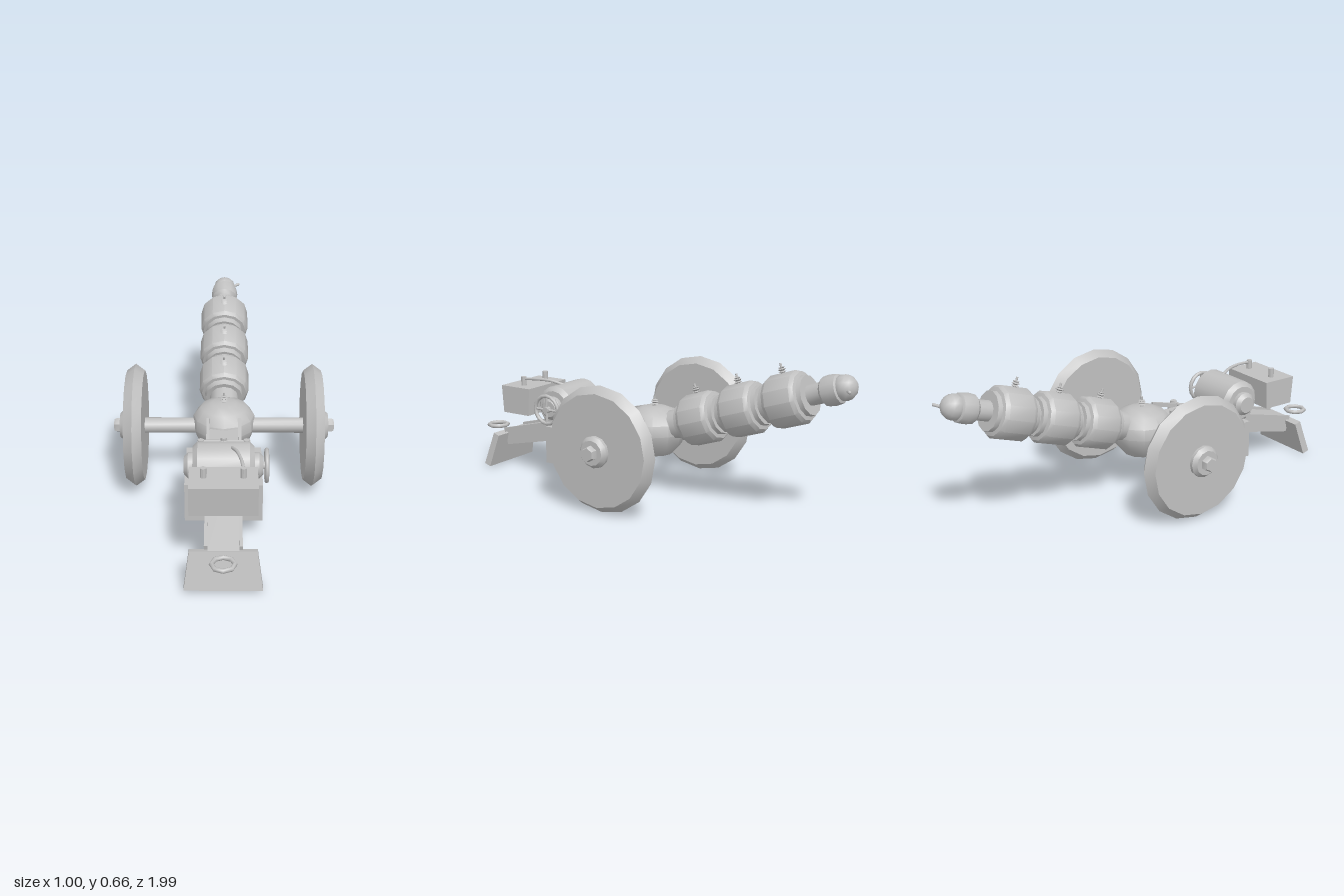
import * as THREE from 'three';
import { toCreasedNormals } from 'three/addons/utils/BufferGeometryUtils.js';

const steel = new THREE.MeshStandardMaterial({ color: 0xc0c0c0 });
steel.name = 'grey steel';

const AXLE_Y = 0.28;
const PITCH = THREE.MathUtils.degToRad(18.2);

export function createModel() {
  const model = new THREE.Group();
  model.name = 'fieldCannon';

  const add = (name, geometry, parent = model, x = 0, y = 0, z = 0) => {
    const mesh = new THREE.Mesh(geometry, steel);
    mesh.name = name;
    mesh.position.set(x, y, z);
    parent.add(mesh);
    return mesh;
  };
  // Turned part about y from [radius, height] pairs, bottom to top
  const turned = (points, sides = 12) => toCreasedNormals(
    new THREE.LatheGeometry(points.map(([r, h]) => new THREE.Vector2(r, h)), sides), 0.62);
  const alongX = (geometry) => geometry.rotateZ(-Math.PI / 2);
  const rod = (r, length, sides = 12) => turned(
    [[0, -length / 2], [r, -length / 2], [r, length / 2], [0, length / 2]], sides);
  const box = (name, x0, x1, y0, y1, z0, z1) => add(name,
    new THREE.BoxGeometry(x1 - x0, y1 - y0, z1 - z0), model, (x0 + x1) / 2, (y0 + y1) / 2, (z0 + z1) / 2);
  // Side profile of [z, y] pairs extruded across x
  const sideExtrude = (points, width) => {
    const shape = new THREE.Shape(points.map(([z, y]) => new THREE.Vector2(-z, y)));
    return new THREE.ExtrudeGeometry(shape, { depth: width, bevelEnabled: false })
      .translate(0, 0, -width / 2).rotateY(Math.PI / 2);
  };
  const insulatorProfile = [[0, -0.01], [0.009, -0.01], [0.009, 0.004], [0.018, 0.007], [0.009, 0.012],
    [0.018, 0.018], [0.009, 0.023], [0.014, 0.027], [0.005, 0.03], [0.005, 0.045], [0, 0.045]];
  const insulator = (parent, x, y, z) => add('insulator', turned(insulatorProfile, 10), parent, x, y, z);

  // Axle and wheels with hubs and hex nuts
  add('axle', alongX(rod(0.035, 0.74)), model, 0, AXLE_Y, -0.005);
  for (const side of [1, -1]) {
    const wheel = new THREE.Group();
    wheel.name = side > 0 ? 'leftWheel' : 'rightWheel';
    wheel.position.set(side * 0.4, AXLE_Y, -0.005);
    if (side < 0) wheel.rotation.y = Math.PI;
    model.add(wheel);
    add('wheelDisc', alongX(turned([[0, -0.04], [0.25, -0.04], [0.28, 0], [0.25, 0.04], [0, 0.04]], 16)), wheel);
    add('hub', alongX(turned([[0, 0.03], [0.07, 0.03], [0.07, 0.055], [0.055, 0.072], [0, 0.072]])), wheel);
    add('hubNut', alongX(turned([[0, 0.06], [0.034, 0.06], [0.034, 0.09], [0.028, 0.1], [0, 0.1]], 6)
      .rotateY(Math.PI / 2)), wheel);
  }

  // Central breech housing with domed top
  add('breechHousing', turned([[0, 0.17], [0.085, 0.18], [0.125, 0.225], [0.143, 0.28], [0.138, 0.33],
    [0.105, 0.372], [0.055, 0.392], [0, 0.397]]), model, 0, 0, -0.01);
  insulator(model, 0, 0.397, -0.01);

  // Barrel: local +y runs out along the bore, local +z faces up
  const barrel = new THREE.Group();
  barrel.name = 'barrel';
  barrel.position.set(0, AXLE_Y + 0.005, 0);
  barrel.rotation.x = PITCH - Math.PI / 2;
  model.add(barrel);
  add('barrelCore', rod(0.066, 0.77), barrel, 0, 0.425, 0);
  for (const s of [0.284, 0.505, 0.726]) {
    add('barrelSegment', turned([[0, -0.105], [0.085, -0.105], [0.09, -0.08], [0.104, -0.078], [0.115, -0.06],
      [0.115, 0.06], [0.104, 0.076], [0.088, 0.08], [0.086, 0.1], [0, 0.1]]), barrel, 0, s, 0);
    insulator(barrel, 0, s, 0.112).rotation.x = Math.PI / 2;
  }
  add('muzzleNeck', turned([[0, 0.8], [0.045, 0.8], [0.045, 0.885], [0.062, 0.9], [0.066, 0.93],
    [0.062, 0.965], [0.045, 0.975], [0, 0.975]]), barrel);
  add('muzzleBall', new THREE.SphereGeometry(0.056, 12, 8), barrel, 0, 0.984, 0);
  const spike = new THREE.LineCurve3(new THREE.Vector3(0.02, 0.585, -0.955), new THREE.Vector3(0.072, 0.592, -0.988));
  add('muzzleSpike', new THREE.TubeGeometry(spike, 1, 0.007, 8));
  add('muzzleSpikeTip', new THREE.SphereGeometry(0.007, 8, 6), model, 0.072, 0.592, -0.988);

  // Sloping trail with raised edge rails
  add('trail', sideExtrude([[0.825, 0.1], [0.845, 0.17], [0.25, 0.322], [0.05, 0.322], [0.05, 0.23], [0.25, 0.225]], 0.126));
  for (const x of [-0.07, 0.07]) {
    add('trailRail', sideExtrude([[0.83, 0.165], [0.835, 0.185], [0.1, 0.37], [0.1, 0.35]], 0.014), model, x);
  }

  // Ground spade, wider at the foot
  const spade = sideExtrude([[0.86, 0.004], [0.895, 0.014], [0.85, 0.17], [0.818, 0.16]], 0.32);
  const p = spade.attributes.position;
  for (let i = 0; i < p.count; i++) p.setX(i, p.getX(i) * (1 - 0.9 * p.getY(i)));
  spade.computeVertexNormals();
  add('spade', spade);
  add('towRing', new THREE.TorusGeometry(0.046, 0.01, 8, 8).rotateX(Math.PI / 2), model, 0, 0.173, 0.94);

  // Under-carriage box and its two lower feet
  box('carriageBox', -0.165, 0.165, 0.085, 0.26, 0.17, 0.495);
  for (const side of [1, -1]) {
    const x = side * 0.11;
    box('carriageFoot', x - 0.05, x + 0.05, 0.03, 0.2, 0.165, 0.285);
    add('valve', turned([[0, 0.25], [0.028, 0.25], [0.028, 0.31], [0.014, 0.322], [0.014, 0.34], [0, 0.34]], 10),
      model, side * 0.1, 0, 0.245);
  }
  add('valve', turned([[0, 0.31], [0.028, 0.31], [0.028, 0.33], [0.014, 0.34], [0.014, 0.352], [0, 0.352]], 10),
    model, 0, 0, 0.245);
  add('valvePipe', alongX(rod(0.009, 0.23, 8)), model, 0, 0.33, 0.245);

  // Generator drum across the trail
  add('generator', alongX(turned([[0, -0.165], [0.038, -0.165], [0.055, -0.148], [0.055, -0.128], [0.08, -0.128],
    [0.1, -0.108], [0.1, 0.108], [0.08, 0.128], [0.055, 0.128], [0.055, 0.148], [0.038, 0.165], [0, 0.165]], 16)),
  model, 0, 0.345, 0.475);

  // Handwheel on the generator's left end
  const handwheel = new THREE.Group();
  handwheel.name = 'handwheel';
  handwheel.position.set(0.179, 0.345, 0.475);
  model.add(handwheel);
  add('handwheelRim', new THREE.TorusGeometry(0.066, 0.009, 8, 16).rotateY(Math.PI / 2), handwheel);
  add('handwheelHub', alongX(rod(0.015, 0.034)), handwheel, -0.006);
  add('handwheelSpoke', rod(0.006, 0.13, 8), handwheel);
  add('handwheelSpoke', rod(0.006, 0.13, 8).rotateX(Math.PI / 2), handwheel);

  // Battery with two terminals and a lead to the generator
  add('battery', sideExtrude([[0.775, 0.287], [0.785, 0.418], [0.615, 0.418], [0.623, 0.287]], 0.276));
  for (const x of [-0.08, 0.08]) add('batteryTerminal', rod(0.013, 0.045, 10), model, x, 0.438, 0.695);
  const lead = new THREE.CatmullRomCurve3([[0.08, 0.45, 0.695], [0.073, 0.455, 0.63], [0.055, 0.453, 0.55],
    [0.033, 0.436, 0.485]].map((v) => new THREE.Vector3(...v)));
  add('batteryLead', new THREE.TubeGeometry(lead, 12, 0.007, 8));

  return model;
}
